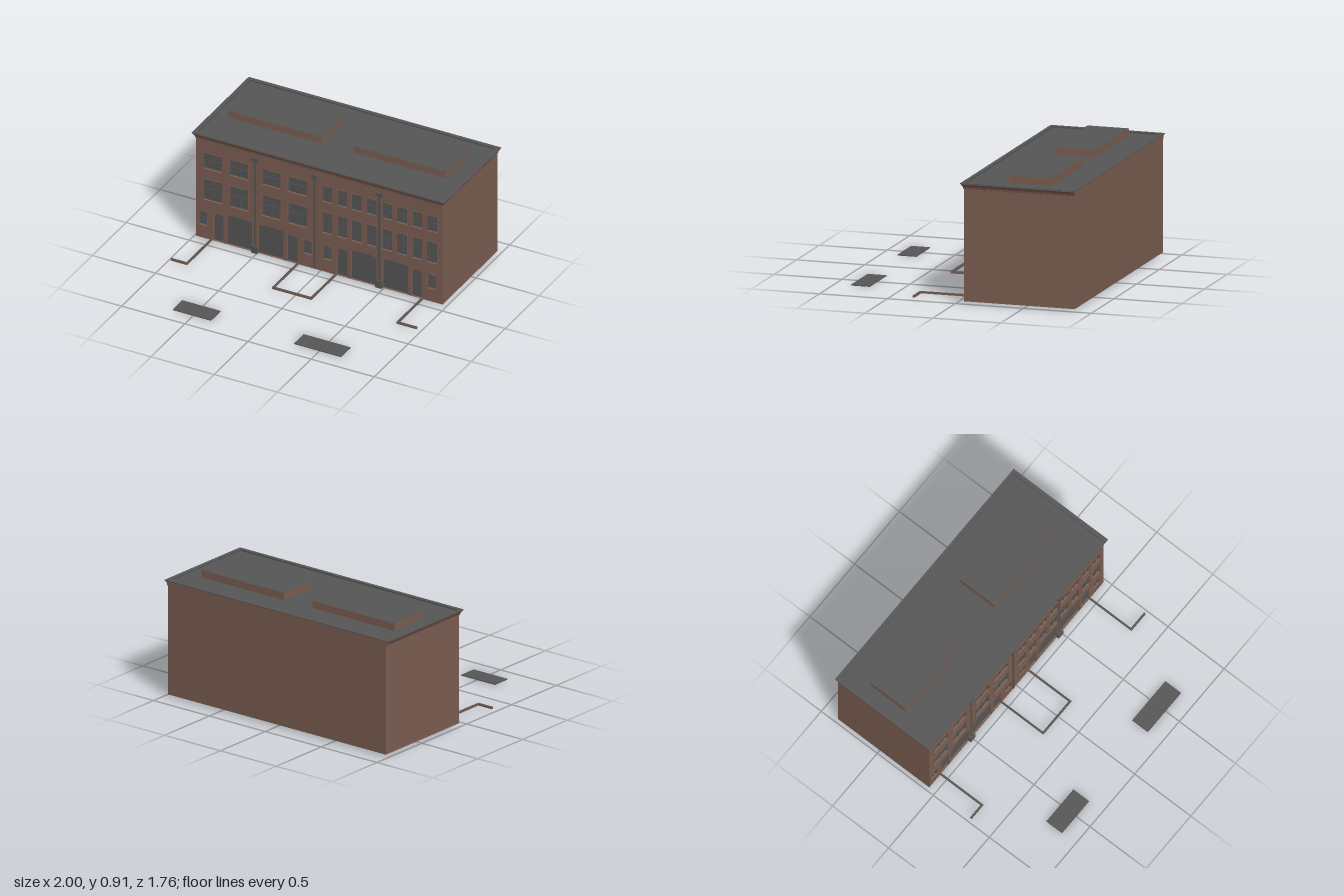
import * as THREE from 'three';

const brick = new THREE.MeshStandardMaterial({ color: 0x7b5e51, side: THREE.DoubleSide });
brick.name = 'brown brick';
const grey = new THREE.MeshStandardMaterial({ color: 0x565656, side: THREE.DoubleSide });
grey.name = 'dark grey';

const FRONT = -0.055, BACK = -0.87, BASE = 0.015, HALF = 0.975, WALL = 0.02;

// Opening outline with an optional shallow arched head
function trace(path, x0, x1, y0, y1, rise = 0) {
  path.moveTo(x0, y0);
  path.lineTo(x1, y0);
  path.lineTo(x1, y1 - rise);
  if (rise) path.quadraticCurveTo((x0 + x1) / 2, y1 + rise, x0, y1 - rise);
  else path.lineTo(x0, y1);
  path.closePath();
  return path;
}

// Rectangular rings [x half-width, z back, z front, y] joined by flat quads
function loft(rings) {
  const pos = [];
  const corners = ([hx, zb, zf, y]) => [[-hx, y, zf], [hx, y, zf], [hx, y, zb], [-hx, y, zb]];
  for (let i = 0; i + 1 < rings.length; i++) {
    const a = corners(rings[i]), b = corners(rings[i + 1]);
    for (let k = 0; k < 4; k++) {
      const n = (k + 1) % 4;
      pos.push(...a[k], ...a[n], ...b[n], ...a[k], ...b[n], ...b[k]);
    }
  }
  const g = new THREE.BufferGeometry();
  g.setAttribute('position', new THREE.Float32BufferAttribute(pos, 3));
  g.computeVertexNormals();
  return g;
}

export function createModel() {
  const model = new THREE.Group();
  model.name = 'townhouseBlock';

  function add(name, geometry, material, x = 0, y = 0, z = 0) {
    const mesh = new THREE.Mesh(geometry, material);
    mesh.name = name;
    mesh.position.set(x, y, z);
    model.add(mesh);
    return mesh;
  }
  // Box given by its limits
  function box(name, material, x0, x1, y0, y1, z0, z1) {
    return add(name, new THREE.BoxGeometry(x1 - x0, y1 - y0, z1 - z0), material,
      (x0 + x1) / 2, (y0 + y1) / 2, (z0 + z1) / 2);
  }
  // Brown sides with a grey top
  const capped = [brick, brick, grey, brick, brick, brick];

  // Facade openings
  const windows = [], doors = [];
  const wide = [[-0.92, -0.77], [-0.71, -0.565], [-0.455, -0.305], [-0.25, -0.095]];
  const narrow = [0.02, 0.138, 0.255, 0.373, 0.494, 0.612, 0.731, 0.849].map(x => [x, x + 0.082]);
  for (const [x0, x1] of [...wide, ...narrow]) {
    windows.push([x0, x1, 0.585, 0.713, 0]);
    windows.push([x0, x1, 0.33, 0.5, 0]);
  }
  for (const x of [-0.955, -0.128, 0.03, 0.855]) windows.push([x, x + 0.066, 0.118, 0.233, 0.006]);
  for (const x of [-0.84, -0.258, 0.138, 0.727]) doors.push([x, x + 0.083, BASE + 0.001, 0.235, 0.007]);
  for (const x of [-0.735, -0.486, 0.25, 0.5]) doors.push([x, x + 0.203, BASE + 0.001, 0.255, 0.009]);

  // Front wall with reveals
  const wall = trace(new THREE.Shape(), -HALF, HALF, BASE, 0.85);
  for (const o of [...windows, ...doors]) wall.holes.push(trace(new THREE.Path(), ...o));
  add('frontWall', new THREE.ExtrudeGeometry(wall, { depth: WALL, bevelEnabled: false, curveSegments: 6 }),
    brick, 0, 0, FRONT - WALL);

  for (const o of windows) {
    const [x0, x1, y0, y1, rise] = o;
    const cx = (x0 + x1) / 2, cy = (y0 + y1) / 2, zg = FRONT - 0.014;
    add('windowGlass', new THREE.ShapeGeometry(trace(new THREE.Shape(), ...o), 6), grey, 0, 0, zg);
    // Sash bars
    box('windowMullion', grey, cx - 0.004, cx + 0.004, y0, y1, zg - 0.006, zg + 0.006);
    box('windowTransom', grey, x0, x1, cy - 0.004, cy + 0.004, zg - 0.005, zg + 0.005);
    for (const [a, b] of [[x0, x0 + 0.006], [x1 - 0.006, x1]])
      box('windowStile', grey, a, b, y0, y1 - rise, zg - 0.006, zg + 0.006);
    // Raised surround
    const e = 0.007;
    const rim = trace(new THREE.Shape(), x0 - e, x1 + e, y0 - e, y1 + e, rise);
    rim.holes.push(trace(new THREE.Path(), ...o));
    add('windowSurround', new THREE.ExtrudeGeometry(rim, { depth: 0.003, bevelEnabled: false, curveSegments: 6 }),
      brick, 0, 0, FRONT);
  }
  for (const o of doors)
    add(o[1] - o[0] > 0.1 ? 'garageDoor' : 'door',
      new THREE.ShapeGeometry(trace(new THREE.Shape(), ...o), 6), grey, 0, 0, FRONT - 0.016);

  // Plain side and back walls, open underneath
  const h = 0.85 - BASE, midY = (0.85 + BASE) / 2;
  for (const s of [-1, 1])
    add('sideWall', new THREE.PlaneGeometry(FRONT - BACK, h), brick, s * HALF, midY, (FRONT + BACK) / 2)
      .rotation.y = s * Math.PI / 2;
  add('backWall', new THREE.PlaneGeometry(2 * HALF, h), brick, 0, midY, BACK).rotation.y = Math.PI;

  // Curved cornice on the front and sides
  const profile = [[0, 0.818], [0.005, 0.82], [0.007, 0.83], [0.012, 0.841], [0.019, 0.849], [0.023, 0.853], [0.023, 0.859]];
  add('cornice', loft(profile.map(([o, y]) => [HALF + o, BACK, FRONT + o * 0.8, y])), brick);

  // Roof rim and sunken deck
  add('roofRim', loft([
    [HALF, BACK, FRONT, 0.858], [1, -0.878, -0.036, 0.858], [1, -0.878, -0.036, 0.863],
    [0.97, -0.85, -0.065, 0.863], [0.97, -0.85, -0.065, 0.852]]), grey);
  add('roofDeck', new THREE.PlaneGeometry(1.94, 0.785), grey, 0, 0.852, -0.4575).rotation.x = -Math.PI / 2;

  // Raised roof blocks
  for (const [x0, x1] of [[-0.877, -0.143], [0.112, 0.846]])
    box('roofBlock', capped, x0, x1, 0.852, 0.906, -0.653, -0.347);

  // Downpipes with hopper heads; the outer two have footings
  for (const x of [-0.508, -0.036, 0.476]) {
    box('downpipe', grey, x - 0.007, x + 0.007, 0.03, 0.76, FRONT, FRONT + 0.007);
    box('hopperHead', grey, x - 0.025, x + 0.025, 0.757, 0.787, FRONT, FRONT + 0.011);
    if (x !== -0.036) box('pipeFooting', grey, x - 0.025, x + 0.025, BASE, 0.075, FRONT, FRONT + 0.018);
  }

  // Low garden kerbs
  for (const x of [-0.85, -0.167, 0.135, 0.818])
    box('kerb', capped, x - 0.006, x + 0.006, BASE, 0.03, FRONT, 0.323);
  for (const [x0, x1] of [[-0.975, -0.856], [-0.161, 0.129], [0.824, 0.972]])
    box('kerbEnd', capped, x0, x1, BASE, 0.03, 0.309, 0.323);

  // Paving slabs in front
  for (const [x0, x1] of [[-0.66, -0.357], [0.3, 0.672]])
    box('pavingSlab', grey, x0, x1, 0, 0.006, 0.738, 0.878);

  return model;
}
